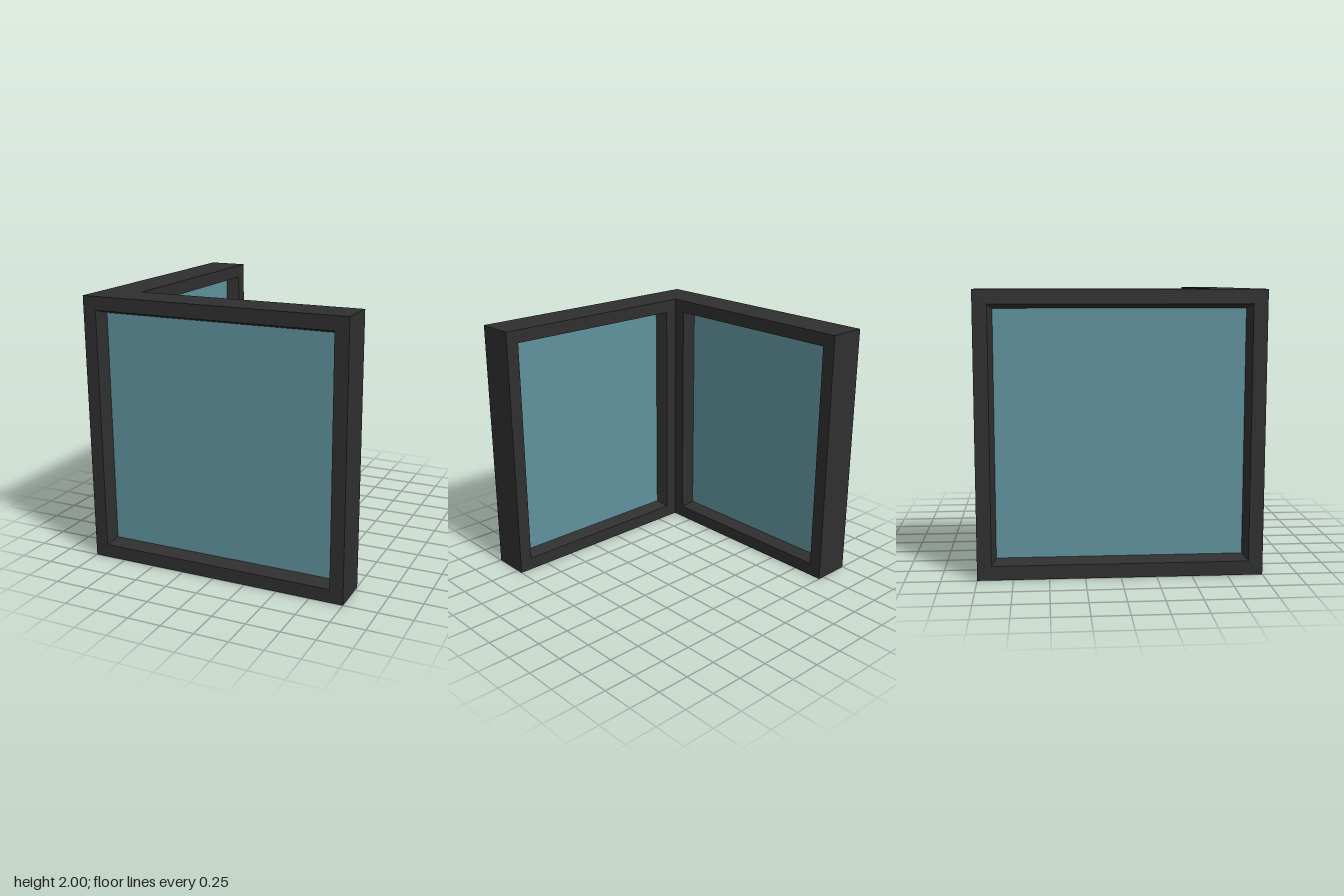
import * as THREE from 'three';

const HEIGHT = 2, THICK = 0.3;             // wing height and thickness
const BORDER = 0.1, BEVEL = 0.03, DEPTH = 0.1; // frame border, slope inset, pane recess

const frameMat = new THREE.MeshStandardMaterial({ color: 0x2f2f2f });
frameMat.name = 'charcoal frame';
const glassMat = new THREE.MeshStandardMaterial({ color: 0x5f929c });
glassMat.name = 'teal glass';

function add(parent, name, geometry, material) {
  const mesh = new THREE.Mesh(geometry, material);
  mesh.name = name;
  parent.add(mesh);
  return mesh;
}

// Corners of a centred rectangle, counter-clockwise
function corners(w, h) {
  return [[-w, -h], [w, -h], [w, h], [-w, h]].map(([x, y]) => new THREE.Vector2(x / 2, y / 2));
}

// Four sloping faces from the opening back to the pane
function revealGeometry(w, h) {
  const outer = corners(w, h), inner = corners(w - 2 * BEVEL, h - 2 * BEVEL);
  const pos = [];
  for (let i = 0; i < 4; i++) {
    const j = (i + 1) % 4;
    const a = [outer[i].x, outer[i].y, 0], b = [outer[j].x, outer[j].y, 0];
    const c = [inner[j].x, inner[j].y, -DEPTH], d = [inner[i].x, inner[i].y, -DEPTH];
    pos.push(...a, ...b, ...c, ...a, ...c, ...d);
  }
  const geo = new THREE.BufferGeometry();
  geo.setAttribute('position', new THREE.Float32BufferAttribute(pos, 3));
  geo.computeVertexNormals();
  return geo;
}

// One face of a wing: flat border, sloped reveal and recessed pane, facing +z
function windowFace(name, width) {
  const group = new THREE.Group();
  group.name = name;
  const w = width - 2 * BORDER, h = HEIGHT - 2 * BORDER;
  const border = new THREE.Shape(corners(width, HEIGHT));
  border.holes.push(new THREE.Path(corners(w, h)));
  add(group, 'frameBorder', new THREE.ShapeGeometry(border), frameMat);
  add(group, 'frameReveal', revealGeometry(w, h), frameMat);
  add(group, 'glassPane', new THREE.PlaneGeometry(w - 2 * BEVEL, h - 2 * BEVEL), glassMat)
    .position.z = -DEPTH;
  return group;
}

// L-shaped cap; flip mirrors the outline for the underside
function capGeometry(flip) {
  const i = -1 + THICK;
  const outline = [[-1, -1], [1, -1], [1, i], [i, i], [i, 1], [-1, 1]];
  const shape = new THREE.Shape(outline.map(([x, y]) => new THREE.Vector2(x, flip ? -y : y)));
  return new THREE.ShapeGeometry(shape).rotateX(flip ? Math.PI / 2 : -Math.PI / 2);
}

export function createModel() {
  const model = new THREE.Group();
  model.name = 'cornerWindow';
  const quarter = Math.PI / 2, mid = THICK / 2;

  // Outer and inner faces of both wings: name, width, x, z, turn
  const faces = [
    ['frontWingOuter', 2, 0, 1, 0],
    ['frontWingInner', 2 - THICK, mid, 1 - THICK, Math.PI],
    ['sideWingOuter', 2, -1, 0, -quarter],
    ['sideWingInner', 2 - THICK, -1 + THICK, -mid, quarter],
  ];
  for (const [name, width, x, z, turn] of faces) {
    const face = windowFace(name, width);
    face.position.set(x, HEIGHT / 2, z);
    face.rotation.y = turn;
    model.add(face);
  }

  // Free ends of the wings
  const end = new THREE.PlaneGeometry(THICK, HEIGHT);
  const frontEnd = add(model, 'frontWingEnd', end, frameMat);
  frontEnd.position.set(1, HEIGHT / 2, 1 - mid);
  frontEnd.rotation.y = quarter;
  const sideEnd = add(model, 'sideWingEnd', end, frameMat);
  sideEnd.position.set(-1 + mid, HEIGHT / 2, -1);
  sideEnd.rotation.y = Math.PI;

  // Top and underside
  add(model, 'frameTop', capGeometry(false), frameMat).position.y = HEIGHT;
  add(model, 'frameBottom', capGeometry(true), frameMat);
  return model;
}
